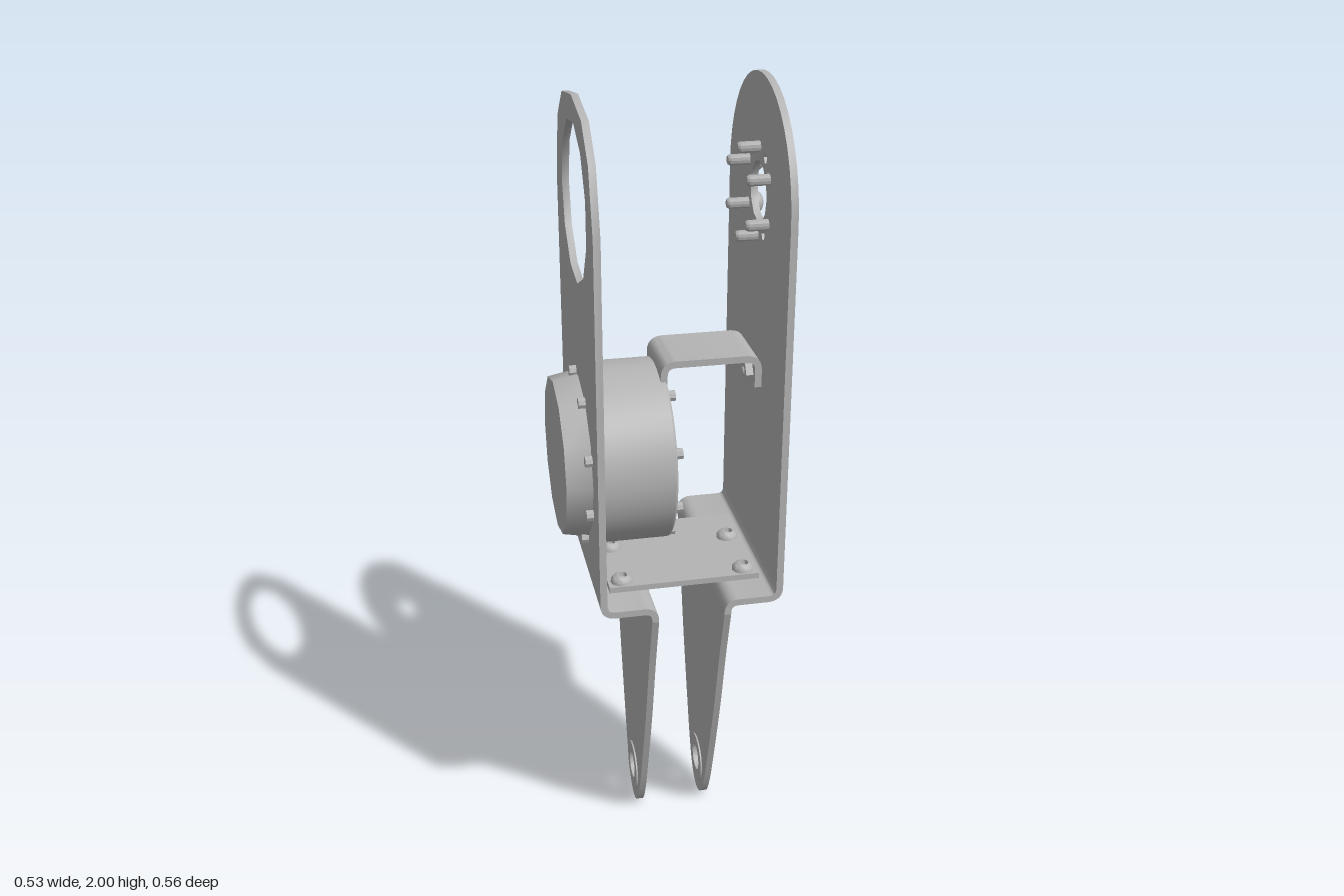
import * as THREE from 'three';
import { toCreasedNormals } from 'three/addons/utils/BufferGeometryUtils.js';

const steel = new THREE.MeshStandardMaterial({ color: 0xb4b4b4 });
steel.name = 'steel';
const T = 0.017; // sheet thickness
const HALF = 0.28; // half width of the side plates
const MOTOR_Y = 1.085, HUB_Y = 1.725, PIVOT_Y = 0.105;

function add(parent, name, geometry) {
  const mesh = new THREE.Mesh(toCreasedNormals(geometry, 0.6), steel);
  mesh.name = name;
  parent.add(mesh);
  return mesh;
}

// Circular hole given by model z and y
function hole(shape, z, y, r, sides) {
  const p = new THREE.Path();
  for (let i = 0; i < sides; i++) {
    const a = -i / sides * Math.PI * 2;
    const px = -z + r * Math.cos(a), py = y + r * Math.sin(a);
    if (i) p.lineTo(px, py); else p.moveTo(px, py);
  }
  p.closePath();
  shape.holes.push(p);
}

// Flat sheet lying in the z/y plane, from x0 to x0 + depth
function sheet(shape, x0, depth = T) {
  const g = new THREE.ExtrudeGeometry(shape, { depth, bevelEnabled: false, curveSegments: 10 });
  return g.rotateY(Math.PI / 2).translate(x0, 0, 0);
}

// Sheet folded along an x/y centreline with rounded corners, between z0 and z1
function foldedSheet(points, radius, z0, z1) {
  const v = points.map(([x, y]) => new THREE.Vector2(x, y));
  const line = [v[0]];
  for (let i = 1; i < v.length - 1; i++) {
    const a = v[i - 1].clone().sub(v[i]).setLength(radius).add(v[i]);
    const b = v[i + 1].clone().sub(v[i]).setLength(radius).add(v[i]);
    line.push(...new THREE.QuadraticBezierCurve(a, v[i], b).getPoints(6));
  }
  line.push(v[v.length - 1]);
  const left = [], right = [];
  line.forEach((p, i) => {
    const d = line[Math.min(i + 1, line.length - 1)].clone().sub(line[Math.max(i - 1, 0)]).setLength(T / 2);
    left.push(new THREE.Vector2(p.x - d.y, p.y + d.x));
    right.push(new THREE.Vector2(p.x + d.y, p.y - d.x));
  });
  const g = new THREE.ExtrudeGeometry(new THREE.Shape([...left, ...right.reverse()]),
    { depth: z1 - z0, bevelEnabled: false });
  return g.translate(0, 0, z0);
}

// Turned part: profile of [radius, x] pairs about the x axis
function turned(profile, sides) {
  return new THREE.LatheGeometry(profile.map(([r, x]) => new THREE.Vector2(r, x)), sides).rotateZ(-Math.PI / 2);
}

// Domed socket screw along +x; the underside of the head is at x = 0
function screw(parent, name, length, nutAt) {
  const group = new THREE.Group();
  group.name = name;
  add(group, 'screwBody', turned([[0, -length], [0.01, -length], [0.0135, -length + 0.006], [0.0135, 0],
    [0.028, 0], [0.027, 0.007], [0.021, 0.014], [0.014, 0.018], [0.012, 0.008], [0, 0.008]], 12));
  if (nutAt !== undefined) {
    add(group, 'nut', new THREE.CylinderGeometry(0.028, 0.028, 0.018, 6).rotateZ(Math.PI / 2)).position.x = -nutAt - 0.009;
  }
  parent.add(group);
  return group;
}

function upperPlate(top, isLeft) {
  const s = new THREE.Shape();
  s.moveTo(-HALF, 0.82);
  s.lineTo(HALF, 0.82);
  if (isLeft) {
    s.lineTo(HALF, 1.72);
    s.absarc(0, 1.72, top - 1.72, 0, Math.PI, false);
  } else {
    for (const [x, y] of [[HALF, 1.72], [0.235, 1.87], [0.15, 1.945], [0, top], [-0.15, 1.945], [-0.235, 1.87], [-HALF, 1.72]]) s.lineTo(x, y);
  }
  s.closePath();
  return s;
}

function legShape() {
  const side = [[0.28, 0.745], [0.238, 0.6], [0.188, 0.4], [0.127, 0.2], [0.093, 0.1], [0.06, 0.035], [0.03, 0.008], [0, 0]];
  const outline = [...side, ...side.slice(0, -1).reverse().map(([x, y]) => [-x, y])];
  const s = new THREE.Shape();
  s.moveTo(...outline[0]);
  s.splineThru(outline.slice(1).map(([x, y]) => new THREE.Vector2(x, y)));
  s.closePath();
  // resample the curve finely enough for a smooth edge
  const fine = new THREE.Shape(s.getPoints(4));
  hole(fine, 0, PIVOT_Y, 0.037, 16);
  return fine;
}

export function createModel() {
  const model = new THREE.Group();
  model.name = 'armLink';

  // Two folded side plates: upper sheet, double bend, tapered leg, pivot boss
  for (const isLeft of [true, false]) {
    const group = new THREE.Group();
    group.name = isLeft ? 'leftSidePlate' : 'rightSidePlate';
    model.add(group);
    const xUp = isLeft ? 0.239 : -0.199, xLeg = isLeft ? 0.109 : -0.072;
    const upper = upperPlate(isLeft ? 2 : 1.97, isLeft);
    if (isLeft) {
      hole(upper, 0, HUB_Y, 0.073, 12);
      for (let i = 0; i < 3; i++) {
        const a = Math.PI + i * Math.PI * 2 / 3;
        hole(upper, Math.cos(a) * 0.105, HUB_Y + Math.sin(a) * 0.105, 0.014, 5);
      }
    } else {
      hole(upper, 0, HUB_Y, 0.19, 11);
    }
    add(group, 'upperPlate', sheet(upper, xUp - T / 2));
    add(group, 'foldedFlange', foldedSheet([[xUp, 0.82], [xUp, 0.777], [xLeg, 0.777], [xLeg, 0.745]], 0.028, -HALF, HALF));
    add(group, 'taperedLeg', sheet(legShape(), xLeg - T / 2));
    const boss = new THREE.Shape();
    boss.absarc(0, PIVOT_Y, 0.066, 0, Math.PI * 2, false);
    hole(boss, 0, PIVOT_Y, 0.037, 16);
    add(group, 'pivotBoss', sheet(boss, xLeg - 0.0125, 0.025));
  }

  // Cross plate resting on both flanges, with its bolts
  add(model, 'crossPlate', new THREE.BoxGeometry(0.38, 0.015, 0.32)).position.set(0.02, 0.793, 0.03);
  for (const x of [-0.135, 0.175]) for (const z of [0.16, -0.01]) {
    const bolt = screw(model, 'crossPlateBolt', 0.055, 0.033);
    bolt.rotation.z = Math.PI / 2;
    bolt.position.set(x, 0.8, z);
  }

  // Motor: drum with recessed output hub, and faceted rear cap
  const motor = new THREE.Group();
  motor.name = 'motor';
  motor.position.y = MOTOR_Y;
  model.add(motor);
  add(motor, 'drum', turned([[0, -0.19], [0.222, -0.19], [0.227, -0.185], [0.227, -0.01], [0.222, -0.005],
    [0.13, -0.005], [0.13, -0.025], [0.11, -0.025], [0.11, -0.008], [0.075, -0.008], [0.075, -0.02],
    [0.06, -0.02], [0.06, -0.005], [0.032, -0.005], [0.032, -0.04], [0, -0.04]], 40));
  add(motor, 'rearCap', turned([[0, -0.27], [0.197, -0.27], [0.212, -0.19], [0, -0.19]], 12));
  for (let i = 0; i < 9; i++) {
    const a = (20 + i * 40) * Math.PI / 180;
    for (const [x, name] of [[-0.2, 'rearScrew'], [-0.005, 'frontScrew']]) {
      const s = add(motor, name, new THREE.CylinderGeometry(0.014, 0.014, 0.05, 8).rotateZ(Math.PI / 2));
      s.position.set(name === 'rearScrew' ? x : x - 0.01, Math.sin(a) * 0.21, Math.cos(a) * 0.21);
    }
  }
  for (let i = 0; i < 6; i++) {
    const a = i * Math.PI / 3;
    add(motor, 'hubScrew', new THREE.CylinderGeometry(0.009, 0.009, 0.012, 8).rotateZ(Math.PI / 2))
      .position.set(-0.006, Math.sin(a) * 0.092, Math.cos(a) * 0.092);
  }

  // Bracket from motor face to the left plate
  add(model, 'topBracket', foldedSheet([[-0.012, 1.262], [-0.012, 1.337], [0.221, 1.337], [0.221, 1.262]], 0.03, -0.09, 0.085));
  for (const z of [0.045, -0.045]) {
    screw(model, 'bracketScrew', 0.057, 0.035).position.set(0.247, 1.29, z);
  }

  // Ring of long screws around the upper hub hole
  for (let i = 0; i < 6; i++) {
    const a = Math.PI / 2 + i * Math.PI / 3;
    screw(model, 'hubRingScrew', 0.07).position.set(0.247, HUB_Y + Math.sin(a) * 0.106, Math.cos(a) * 0.106);
  }
  return model;
}
